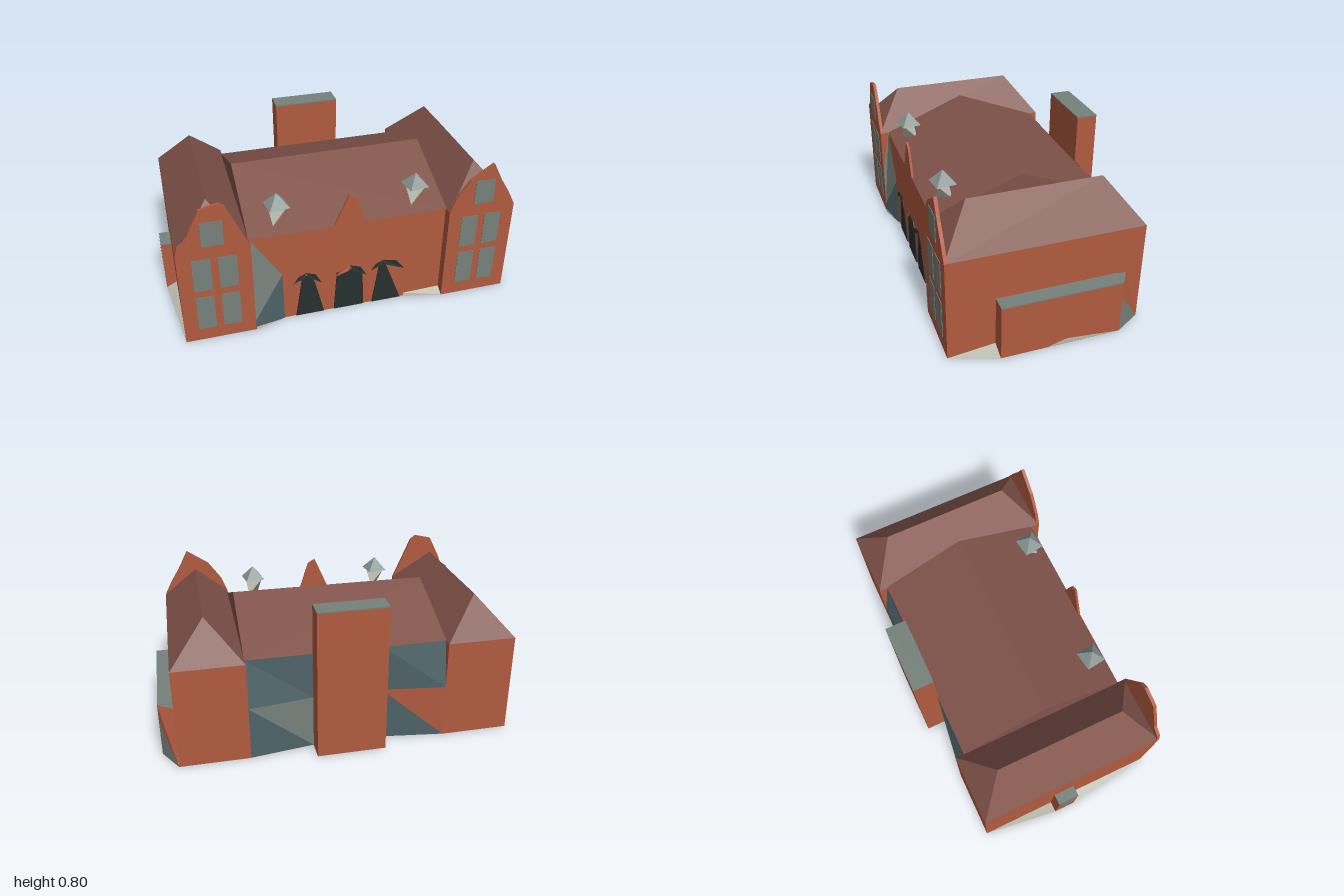
import * as THREE from 'three';
import { ConvexGeometry } from 'three/addons/geometries/ConvexGeometry.js';

const material = (name, color) => {
  const m = new THREE.MeshStandardMaterial({ color, side: THREE.DoubleSide });
  m.name = name;
  return m;
};

export function createModel() {
  const brick = material('brick', 0xb15b40);
  const tile = material('roof tile', 0x80534a);
  const glass = material('grey glass', 0x76817b);
  const teal = material('teal glass', 0x4e6367);
  const dark = material('dark door', 0x26302f);
  const stone = material('pale stone', 0xbab9ad);
  const lead = material('grey lead', 0x8a9896);

  const model = new THREE.Group();
  model.name = 'countryHouse';
  const house = new THREE.Group();
  house.name = 'house';
  house.rotation.y = Math.atan2(3, 4); // the plan stands diagonally
  model.add(house);

  const add = (name, geometry, mat, parent = house) => {
    const mesh = new THREE.Mesh(geometry, mat);
    mesh.name = name;
    parent.add(mesh);
    return mesh;
  };
  // box given by its limits
  const box = (name, mat, x0, x1, y0, y1, z0, z1) =>
    add(name, new THREE.BoxGeometry(x1 - x0, y1 - y0, z1 - z0), mat)
      .position.set((x0 + x1) / 2, (y0 + y1) / 2, (z0 + z1) / 2);
  const solid = (name, mat, pts, parent) =>
    add(name, new ConvexGeometry(pts.map(p => new THREE.Vector3(...p))), mat, parent);
  // separate flat polygon, fanned from its first corner
  const facet = (name, mat, pts) => {
    const v = [];
    for (let i = 1; i < pts.length - 1; i++) v.push(...pts[0], ...pts[i], ...pts[i + 1]);
    const g = new THREE.BufferGeometry();
    g.setAttribute('position', new THREE.Float32BufferAttribute(v, 3));
    g.computeVertexNormals();
    return add(name, g, mat);
  };
  // upright plate cut from a 2D outline
  const plate = (name, mat, pts, x, y, z, depth) => {
    const shape = new THREE.Shape(pts.map(p => new THREE.Vector2(...p)));
    add(name, new THREE.ExtrudeGeometry(shape, { depth, bevelEnabled: false }), mat).position.set(x, y, z);
  };

  const EAVE = 0.538, WX = 0.697, HW = 0.181, HD = 0.495, CD = 0.445;

  // central range
  box('centralWalls', brick, -0.52, 0.52, 0.001, EAVE, -CD, CD);
  solid('centralRoof', tile, [-0.52, 0.52].flatMap(x =>
    [[x, EAVE, -CD - 0.003], [x, EAVE, CD + 0.003], [x, 0.718, 0]]));

  // two end wings with hipped roofs, tall windows and shaped gables
  const gables = {
    '-1': [[-0.181, 0], [-0.168, 0.05], [-0.125, 0.08], [-0.11, 0.12], [-0.05, 0.24], [0.045, 0.262],
      [0.075, 0.24], [0.11, 0.16], [0.181, 0]],
    '1': [[-0.181, 0], [-0.15, 0.08], [-0.08, 0.18], [0.038, 0.26], [0.09, 0.16], [0.14, 0.08], [0.181, 0]],
  };
  for (const s of [-1, 1]) {
    const cx = s * WX;
    box('wingWalls', brick, cx - HW, cx + HW, 0.001, EAVE, -HD, HD);
    const roof = [[cx, 0.74, -0.34], [cx, 0.74, 0.34]];
    for (const x of [-HW, HW]) for (const z of [-HD, HD]) roof.push([cx + x, EAVE, z]);
    solid('wingRoof', tile, roof);
    plate('wingGable', brick, gables[s], cx, EAVE, HD - 0.016, 0.017);
    box('gableWindow', glass, cx - 0.053, cx + 0.055, 0.575, 0.71, HD, HD + 0.004);
    for (const x of [-0.064, 0.064])
      for (const [y0, y1] of [[0.075, 0.275], [0.315, 0.502]])
        box('wingWindow', glass, cx + x - 0.046, cx + x + 0.046, y0, y1, HD, HD + 0.003);
  }

  // small gable in the middle of the front roof
  plate('middleGable', brick, [[-0.085, 0], [-0.05, 0.08], [-0.01, 0.172], [0.03, 0.15], [0.08, 0]],
    0, EAVE, CD - 0.008, 0.012);

  // broad chimney on the back
  box('chimney', brick, -0.18, 0.18, 0.001, 0.798, -0.555, -CD);
  box('chimneyTop', glass, -0.18, 0.18, 0.798, 0.804, -0.555, -CD);

  // faceted glazing in the back corners
  for (const s of [-1, 1]) {
    const a = s * 0.517, b = s * 0.18, z = -CD - 0.004;
    const T1 = [a, EAVE, z], T2 = [b, EAVE, z], M1 = [a, 0.29, -HD], M2 = [b, 0.29, z];
    const B1 = [a, 0.002, -HD], B2 = [b, 0.002, z];
    if (s > 0) {
      facet('backGlazingUpper', teal, [T1, T2, M2, M1]);
      facet('backGlazingLower', glass, [M2, B2, M1]);
      facet('backCornerLower', teal, [M1, B2, B1]);
    } else {
      facet('backGlazingUpper', teal, [T2, T1, M1, M2]);
      facet('backGlazingLower', teal, [M2, B2, B1]);
      facet('backCornerLower', brick, [M1, M2, B1]);
    }
  }

  // slanted glazing beside one front wing
  const P = [-0.516, 0.06, HD], Q = [-0.36, 0.29, CD + 0.004];
  facet('frontGlazingUpper', glass, [[-0.516, EAVE, CD + 0.004], [-0.516, 0.29, HD], P, Q]);
  facet('frontGlazingLower', teal, [P, [-0.516, 0.002, HD], [-0.355, 0.002, CD + 0.004], Q]);

  // three doors under ragged canopies
  const doors = [
    [[-0.292, 0], [-0.14, 0], [-0.188, 0.2], [-0.21, 0.25], [-0.255, 0.255]],
    [[-0.085, 0], [0.08, 0], [0.07, 0.22], [0.045, 0.25], [-0.07, 0.24]],
    [[0.128, 0], [0.29, 0], [0.215, 0.2], [0.19, 0.26], [0.165, 0.26]],
  ];
  doors.forEach(d => plate('door', dark, d, 0, 0.002, CD, 0.005));
  const z = CD + 0.007, out = CD + 0.014;
  for (const [x, left, right, leftMat] of [
    [-0.235, 0.07, 0.08, dark], [0, 0.085, 0.09, brick], [0.185, 0.075, 0.115, dark]]) {
    facet('canopyLeft', leftMat, [[x, 0.278, z], [x - left * 0.6, 0.265, out], [x - left, 0.225, out], [x - 0.01, 0.25, out]]);
    facet('canopyRight', dark, [[x, 0.278, z], [x + 0.01, 0.25, out], [x + right, 0.205, out], [x + right * 0.6, 0.265, out]]);
  }

  // roof lanterns: pointed caps over wedges that narrow opposite ways
  for (const x of [-0.356, 0.372]) {
    const lantern = new THREE.Group();
    lantern.name = 'lantern';
    lantern.position.set(x, 0.655, 0.356);
    lantern.rotation.y = -house.rotation.y;
    house.add(lantern);
    const cap = new THREE.ConeGeometry(0.075, 0.07, 4).toNonIndexed();
    cap.computeVertexNormals();
    add('lanternCap', cap, lead, lantern).position.y = 0.035;
    solid('lanternWedge', stone, [[-0.054, -0.003, 0], [0.054, -0.003, 0], [0, -0.095, 0.05], [0, -0.085, -0.05]], lantern);
  }

  // long low annex on one end, with a sloping back corner
  box('longAnnex', brick, 0.87, 0.957, 0.001, 0.288, -0.36, 0.256);
  box('longAnnexRoof', glass, 0.87, 0.957, 0.288, 0.293, -0.36, 0.256);
  facet('annexBackSlope', brick, [[0.957, 0.29, -0.36], [0.957, 0.2, -0.36], [0.879, 0.002, -HD], [0.879, 0.29, -0.41]]);
  facet('annexBackPane', glass, [[0.957, 0.2, -0.36], [0.957, 0.002, -0.36], [0.879, 0.002, -HD]]);
  facet('annexBackSlopeTop', glass, [[0.957, 0.29, -0.36], [0.879, 0.29, -0.41], [0.879, 0.29, -0.36]]);
  facet('annexFoot', stone, [[0.958, 0.003, 0.02], [0.958, 0.003, -0.34], [0.958, 0.03, -0.08]]);

  // small bay on the other end, with a tapering pane on its outer face
  box('smallBay', brick, -0.935, -0.87, 0.001, 0.288, -0.09, 0.025);
  box('smallBayRoof', glass, -0.935, -0.87, 0.288, 0.293, -0.09, 0.025);
  facet('smallBayPane', glass, [[-0.937, 0.288, -0.088], [-0.937, 0.002, -0.025], [-0.937, 0.288, 0.024]]);

  // pale sloping aprons at the foot of the walls
  facet('endApron', stone, [[-0.879, 0.03, 0.026], [-0.935, 0.003, 0.026], [-0.879, 0.003, HD]]);
  facet('endApron', stone, [[0.879, 0.03, 0.257], [0.957, 0.003, 0.257], [0.879, 0.003, HD]]);
  facet('frontApron', stone, [[0.31, 0.022, CD + 0.003], [0.515, 0.028, CD + 0.003], [0.515, 0.002, HD], [0.31, 0.002, CD + 0.008]]);
  facet('frontApron', stone, [[-0.515, 0.018, HD + 0.001], [-0.515, 0.002, HD + 0.004], [-0.36, 0.002, CD + 0.008]]);

  // underside
  const floor = [[-0.878, HD], [-0.516, HD], [-0.355, CD], [0.3, CD], [0.516, HD], [0.878, HD], [0.957, 0.256],
    [0.957, -0.36], [0.878, -HD], [0.516, -HD], [0.18, -CD], [0.18, -0.555], [-0.18, -0.555], [-0.18, -CD],
    [-0.516, -HD], [-0.878, -HD], [-0.935, -0.09], [-0.935, 0.025]];
  add('floor', new THREE.ShapeGeometry(new THREE.Shape(
    floor.map(([x, y]) => new THREE.Vector2(x, y)))), stone).rotation.x = Math.PI / 2;

  return model;
}
